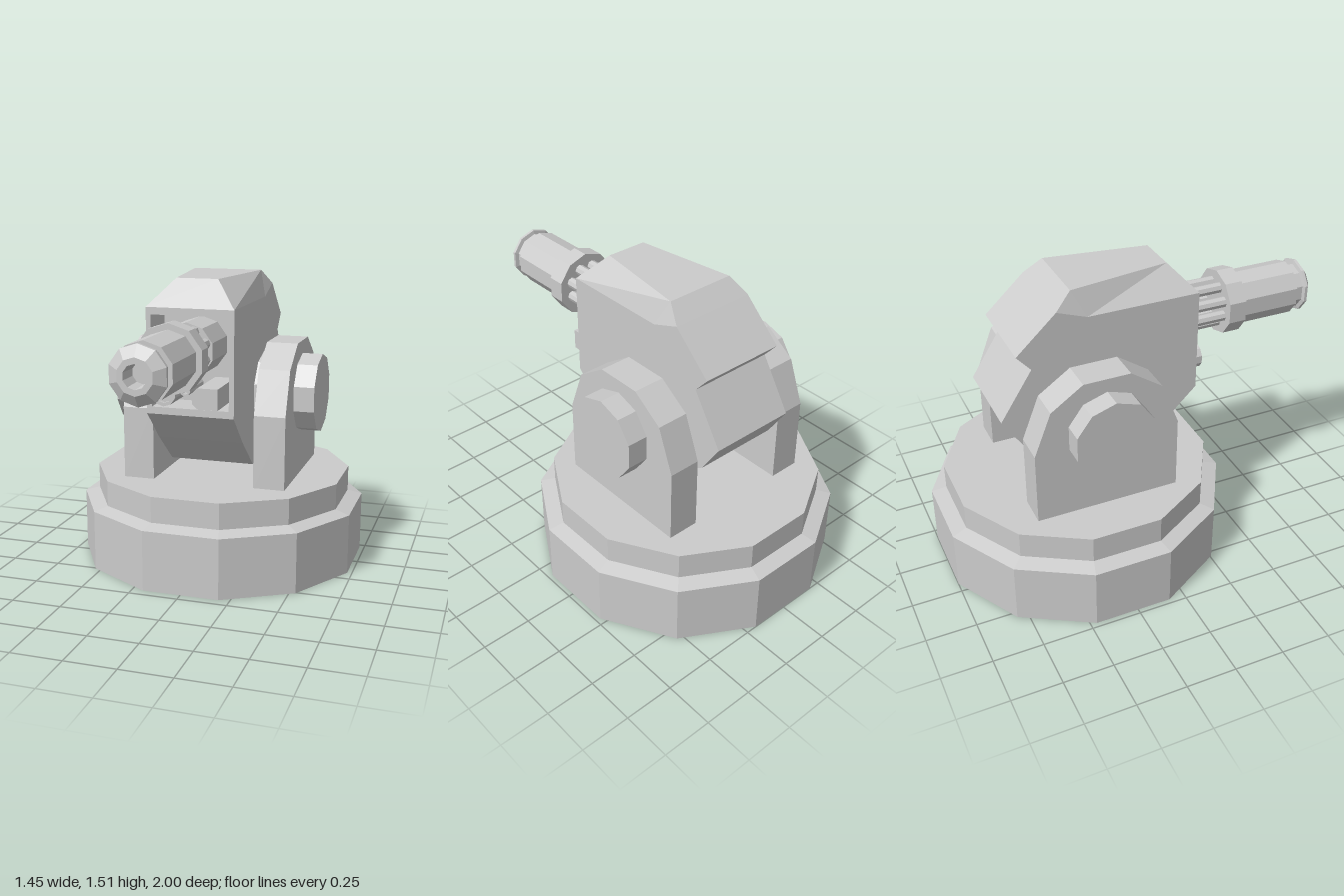
import * as THREE from 'three';

const mat = new THREE.MeshStandardMaterial({ color: 0xcccccc, flatShading: true, side: THREE.DoubleSide });

function add(parent, name, geometry, x = 0, y = 0, z = 0) {
  const mesh = new THREE.Mesh(geometry, mat);
  mesh.name = name;
  mesh.position.set(x, y, z);
  parent.add(mesh);
  return mesh;
}

// Flat convex polygons, each a list of [x, y, z] corners, as one geometry
function faces(polygons) {
  const pos = [];
  for (const p of polygons)
    for (let i = 1; i < p.length - 1; i++) pos.push(...p[0], ...p[i], ...p[i + 1]);
  const g = new THREE.BufferGeometry();
  g.setAttribute('position', new THREE.Float32BufferAttribute(pos, 3));
  g.computeVertexNormals();
  return g;
}

// Shape from [z, y] points, laid out so a quarter turn faces it to side s
const sideShape = (pts, s) => new THREE.Shape(pts.map(([z, y]) => new THREE.Vector2(-s * z, y)));

const lathe = (pts, n, start = 0) =>
  new THREE.LatheGeometry(pts.map(([r, h]) => new THREE.Vector2(r, h)), n, start);

// Lathe and cylinder whose axis runs along z
const latheZ = (pts, n) => lathe(pts, n).rotateX(Math.PI / 2);
const rodZ = (r, z0, z1, n) =>
  new THREE.CylinderGeometry(r, r, z1 - z0, n).rotateX(Math.PI / 2).translate(0, 0, (z0 + z1) / 2);

const W = 0.22;

function makeHousing() {
  const housing = new THREE.Group();
  housing.name = 'housing';

  // Outline from the front's lower edge, over the roof and back: [z, y, half width]
  const outline = [
    [0.29, 0.86, W], [0.29, 1.38, W], [0.17, 1.51, 0.105], [-0.345, 1.51, 0.18],
    [-0.43, 1.435, W], [-0.63, 1.25, W], [-0.56, 1.17, W], [-0.72, 0.92, W],
    [-0.62, 0.765, W], [-0.3, 0.54, W], [-0.07, 0.54, W], [0.13, 0.705, W],
  ];
  const panels = [];
  outline.forEach(([z, y, w], i) => {
    if (i === 0) return; // the front is a frame
    const [z2, y2, w2] = outline[(i + 1) % outline.length];
    panels.push([[-w, y, z], [w, y, z], [w2, y2, z2], [-w2, y2, z2]]);
  });

  // Front frame and the recess behind it
  const rect = (x, y0, y1, z) => [[-x, y0, z], [x, y0, z], [x, y1, z], [-x, y1, z]];
  const rings = [rect(W, 0.86, 1.38, 0.29), rect(0.195, 0.895, 1.345, 0.29), rect(0.195, 0.895, 1.345, 0.1)];
  for (let r = 0; r < 2; r++)
    for (let i = 0; i < 4; i++) {
      const j = (i + 1) % 4;
      panels.push([rings[r][i], rings[r][j], rings[r + 1][j], rings[r + 1][i]]);
    }
  panels.push(rings[2]);

  // Sloped shoulders beside the roof
  for (const s of [1, -1]) {
    const A = [s * W, 1.38, 0.29], B = [s * 0.105, 1.51, 0.17], C = [s * 0.18, 1.51, -0.345];
    const D = [s * W, 1.38, -0.28], E = [s * W, 1.435, -0.43];
    const slopes = [[A, D, C, B], [D, E, C]];
    panels.push(...slopes.map(p => (s > 0 ? p : p.reverse())));
  }
  add(housing, 'housingPanels', faces(panels));

  // Side walls
  const wall = outline.filter(p => p[2] === W);
  wall.splice(2, 0, [-0.28, 1.38]);
  for (const s of [1, -1])
    add(housing, s > 0 ? 'leftWall' : 'rightWall',
      new THREE.ShapeGeometry(sideShape(wall, s)).rotateY(s * Math.PI / 2), s * W);
  return housing;
}

function makeBarrel() {
  const barrel = new THREE.Group();
  barrel.name = 'barrel';
  barrel.position.y = 1.187;
  add(barrel, 'breechCollar', rodZ(0.135, 0.1, 0.34, 10));
  // Ring of rods
  for (let i = 0; i < 8; i++) {
    const a = (i + 0.5) * Math.PI / 4;
    add(barrel, 'rod', rodZ(0.027, 0.3, 0.52, 8), 0.1 * Math.cos(a), 0.1 * Math.sin(a));
  }
  // Clamp ring, sleeve, neck and flared muzzle with bore
  add(barrel, 'muzzleSleeve', latheZ([
    [0, 0.5], [0.167, 0.5], [0.167, 0.59], [0.138, 0.59], [0.138, 0.9], [0.115, 0.9],
    [0.115, 0.945], [0.135, 0.95], [0.135, 0.965], [0.083, 1], [0.055, 1], [0.05, 0.9], [0, 0.9],
  ], 10));
  return barrel;
}

function makeSensors() {
  const sensors = new THREE.Group();
  sensors.name = 'sensors';
  add(sensors, 'lens', latheZ([[0.062, 0.1], [0.062, 0.345], [0.045, 0.345], [0.045, 0.325], [0, 0.325]], 10),
    -0.115, 0.975);
  add(sensors, 'smallTube', latheZ([[0.027, 0.1], [0.027, 0.31], [0.018, 0.31], [0.018, 0.27], [0, 0.27]], 10),
    -0.018, 0.988);
  const outline = [[0.17, 0.92], [0.17, 1.022], [0.07, 1.022], [0.045, 0.997], [0.045, 0.945], [0.07, 0.92]];
  add(sensors, 'sensorBox', new THREE.ExtrudeGeometry(
    new THREE.Shape(outline.map(p => new THREE.Vector2(...p))), { depth: 0.29, bevelEnabled: false }), 0, 0, 0.1);
  return sensors;
}

export function createModel() {
  const model = new THREE.Group();
  model.name = 'turret';

  // Hollow twelve-sided base, open below
  add(model, 'base', lathe([[0.751, 0], [0.751, 0.31], [0.675, 0.33], [0.675, 0.463], [0, 0.463]], 12, Math.PI / 12),
    0, 0, -0.274);

  // Support arms and pivots
  const armPts = [
    [0.09, 0.46], [0.09, 0.835], [0.005, 1.055], [-0.155, 1.165],
    [-0.39, 1.165], [-0.55, 1.055], [-0.635, 0.835], [-0.635, 0.46],
  ];
  for (const s of [1, -1]) {
    const side = s > 0 ? 'left' : 'right';
    add(model, side + 'Arm', new THREE.ExtrudeGeometry(sideShape(armPts, 1), { depth: 0.16, bevelEnabled: false })
      .rotateY(Math.PI / 2), s * 0.345 - 0.08);
    // Ten-sided pivot with a flat on top
    add(model, side + 'Pivot', new THREE.CylinderGeometry(0.203, 0.203, 0.32, 10).rotateZ(Math.PI / 2)
      .rotateX(Math.PI / 2), s * 0.37, 0.895, -0.273);
  }

  model.add(makeHousing(), makeBarrel(), makeSensors());
  return model;
}
